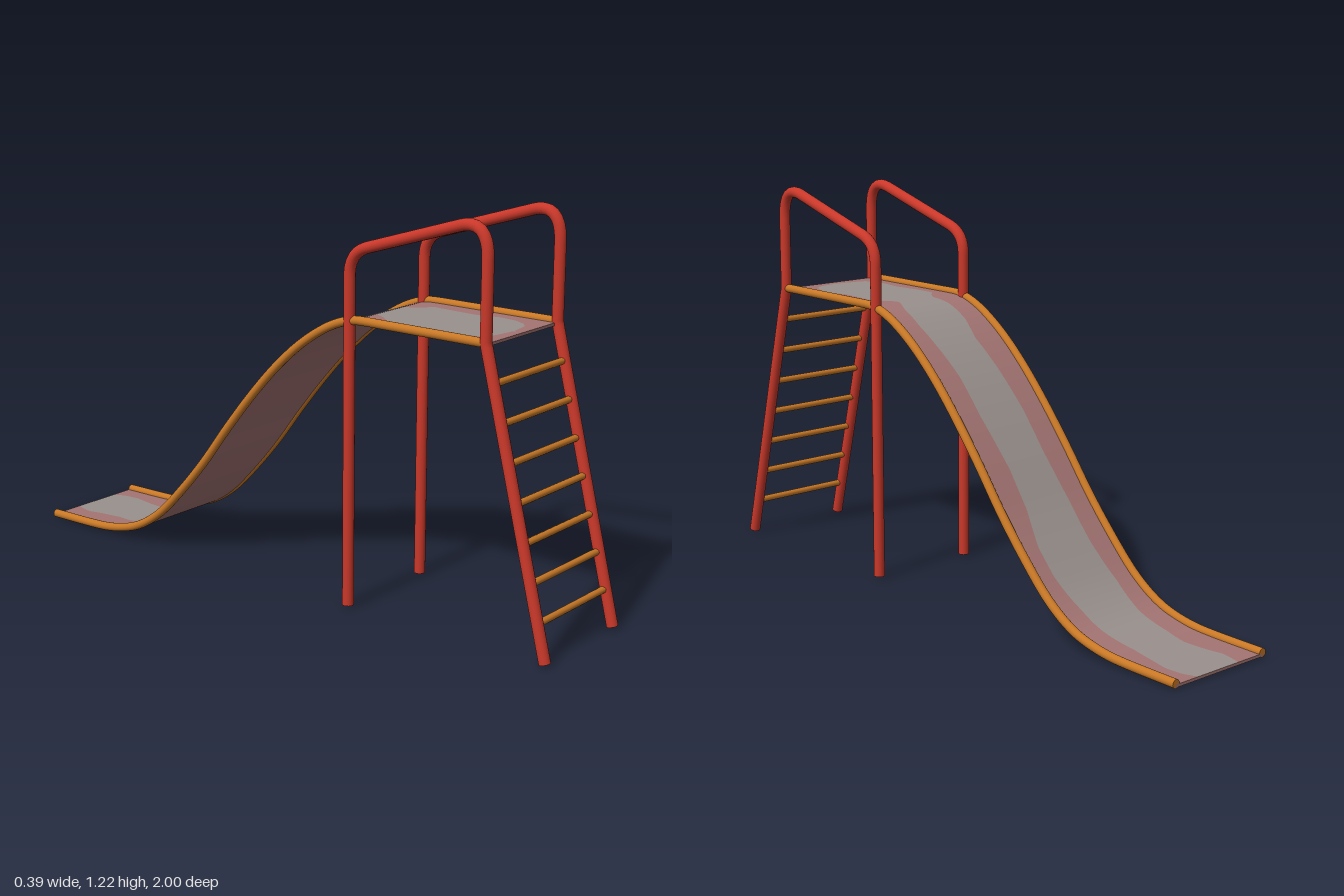
import * as THREE from 'three';

const V = (x, y, z) => new THREE.Vector3(x, y, z);
const SIDE = 0.179; // half spacing of the two frames
const DECK = 0.88; // platform height
const BACK = 0.284, FRONT = 0.76; // platform ends in z
const BLEND = 0.35; // where the platform starts to curve into the chute

const paint = (name, color) => {
  const m = new THREE.MeshStandardMaterial({ color });
  m.name = name;
  return m;
};

const add = (group, name, geometry, material) => {
  const mesh = new THREE.Mesh(geometry, material);
  mesh.name = name;
  group.add(mesh);
  return mesh;
};

// Tube along a curve, closed by a disc at each end
function pipe(name, curve, radius, segments, material) {
  const group = new THREE.Group();
  group.name = name;
  add(group, name + 'Tube', new THREE.TubeGeometry(curve, segments, radius, 16), material);
  for (const [t, sign] of [[0, -1], [1, 1]]) {
    const cap = add(group, name + 'Cap', new THREE.CircleGeometry(radius, 16), material);
    cap.position.copy(curve.getPointAt(t));
    cap.quaternion.setFromUnitVectors(V(0, 0, 1), curve.getTangentAt(t).multiplyScalar(sign));
  }
  return group;
}

// Linear lookup in [z, value] pairs sorted by rising z
function lookup(table, z) {
  let i = 1;
  while (i < table.length - 1 && table[i][0] < z) i++;
  const [z0, a] = table[i - 1], [z1, b] = table[i];
  return a + (b - a) * THREE.MathUtils.clamp((z - z0) / (z1 - z0), 0, 1);
}

// Ribbon following the profile between two x limits; faces up when from < to
function ribbon(profile, from, to) {
  const pos = [], index = [];
  profile.forEach((p, i) => {
    pos.push(from(p.x), p.y, p.x, to(p.x), p.y, p.x);
    if (i) {
      const a = 2 * i - 2;
      index.push(a, a + 1, a + 3, a, a + 3, a + 2);
    }
  });
  const g = new THREE.BufferGeometry();
  g.setAttribute('position', new THREE.Float32BufferAttribute(pos, 3));
  g.setIndex(index);
  g.computeVertexNormals();
  return g;
}

export function createModel() {
  const red = paint('red frame', 0xca382a);
  const orange = paint('orange rail', 0xc87826);
  const pink = paint('faded pink sheet', 0xa47573);
  const grey = paint('worn grey metal', 0x9a918d);

  const model = new THREE.Group();
  model.name = 'playgroundSlide';

  // Side profile, x = z position, y = height
  const chute = new THREE.SplineCurve([
    [BLEND, DECK], [BACK, 0.875], [0.2, 0.843], [0.1, 0.778], [0, 0.69], [-0.1, 0.583], [-0.2, 0.463],
    [-0.3, 0.335], [-0.4, 0.222], [-0.5, 0.124], [-0.6, 0.06], [-0.7, 0.03], [-0.8, 0.019], [-1, 0.015],
  ].map(([z, y]) => new THREE.Vector2(z, y)));
  const profile = [];
  for (let i = 0; i < 40; i++) profile.push(new THREE.Vector2(FRONT + (BLEND - FRONT) * i / 40, DECK));
  profile.push(...chute.getSpacedPoints(140));

  // Worn patch edges along the slide
  const wornLeft = [
    [-1, -0.074], [-0.97, -0.084], [-0.93, -0.092], [-0.88, -0.082], [-0.8, -0.074], [-0.72, -0.09],
    [-0.6, -0.092], [-0.5, -0.102], [-0.4, -0.09], [-0.3, -0.092], [-0.2, -0.083], [-0.1, -0.086],
    [0, -0.078], [0.1, -0.068], [0.17, -0.088], [0.25, -0.09], [0.31, -0.073], [0.35, -0.1],
    [0.38, -0.128], [0.45, -0.13], [0.55, -0.118], [0.63, -0.128], [0.68, -0.118], [0.71, -0.108],
    [0.722, -0.06], [0.73, 0],
  ];
  const wornRight = [
    [-1, 0.09], [-0.96, 0.108], [-0.9, 0.113], [-0.83, 0.098], [-0.75, 0.084], [-0.65, 0.09],
    [-0.55, 0.093], [-0.45, 0.11], [-0.38, 0.108], [-0.3, 0.08], [-0.22, 0.074], [-0.1, 0.086],
    [0, 0.083], [0.1, 0.095], [0.17, 0.1], [0.25, 0.092], [0.31, 0.066], [0.34, 0.078],
    [0.37, 0.116], [0.45, 0.11], [0.53, 0.106], [0.6, 0.124], [0.66, 0.116], [0.7, 0.095],
    [0.72, 0.07], [0.73, 0],
  ];
  const lo = () => -SIDE, hi = () => SIDE;
  const l = (z) => lookup(wornLeft, z), r = (z) => lookup(wornRight, z);

  // Thin sheet: painted top, underside and the two end edges
  const top = profile.map((p) => new THREE.Vector2(p.x, p.y - 0.002));
  const under = profile.map((p) => new THREE.Vector2(p.x, p.y - 0.011));
  const sheet = new THREE.Group();
  sheet.name = 'slideSheet';
  add(sheet, 'sheetRightBorder', ribbon(top, lo, l), pink);
  add(sheet, 'sheetWornPatch', ribbon(top, l, r), grey);
  add(sheet, 'sheetLeftBorder', ribbon(top, r, hi), pink);
  add(sheet, 'sheetUnderside', ribbon(under, hi, lo), pink);
  add(sheet, 'sheetFrontEdge', ribbon([under[0], top[0]], lo, hi), pink);
  add(sheet, 'sheetBackEdge', ribbon([top.at(-1), under.at(-1)], lo, hi), pink);
  model.add(sheet);

  for (const [label, x] of [['left', SIDE], ['right', -SIDE]]) {
    // One bent pipe: ladder leg, handrail and rear leg
    const frame = new THREE.CurvePath();
    const P = (y, z) => V(x, y, z);
    frame.add(new THREE.LineCurve3(P(0.005, 0.981), P(DECK, FRONT)));
    frame.add(new THREE.LineCurve3(P(DECK, FRONT), P(1.11, FRONT)));
    frame.add(new THREE.QuadraticBezierCurve3(P(1.11, FRONT), P(1.223, FRONT), P(1.193, 0.665)));
    frame.add(new THREE.LineCurve3(P(1.193, 0.665), P(1.096, 0.35)));
    frame.add(new THREE.QuadraticBezierCurve3(P(1.096, 0.35), P(1.076, BACK), P(1.01, BACK)));
    frame.add(new THREE.LineCurve3(P(1.01, BACK), P(0.005, BACK)));
    model.add(pipe(label + 'Frame', frame, 0.0175, 160, red));

    // Edge rail along platform and chute
    const rail = new THREE.CatmullRomCurve3(profile.filter((p, i) => i % 4 === 0).map((p) => P(p.y, p.x)));
    model.add(pipe(label + 'EdgeRail', rail, 0.0135, 120, orange));
  }

  // Ladder rungs between the sloping legs
  for (let i = 0; i < 7; i++) {
    const y = 0.115 + i * 0.1092;
    const rung = add(model, 'rung', new THREE.CylinderGeometry(0.0105, 0.0105, 2 * SIDE, 12), orange);
    rung.rotation.z = Math.PI / 2;
    rung.position.set(0, y, FRONT + (DECK - y) * 0.2525);
  }
  return model;
}
